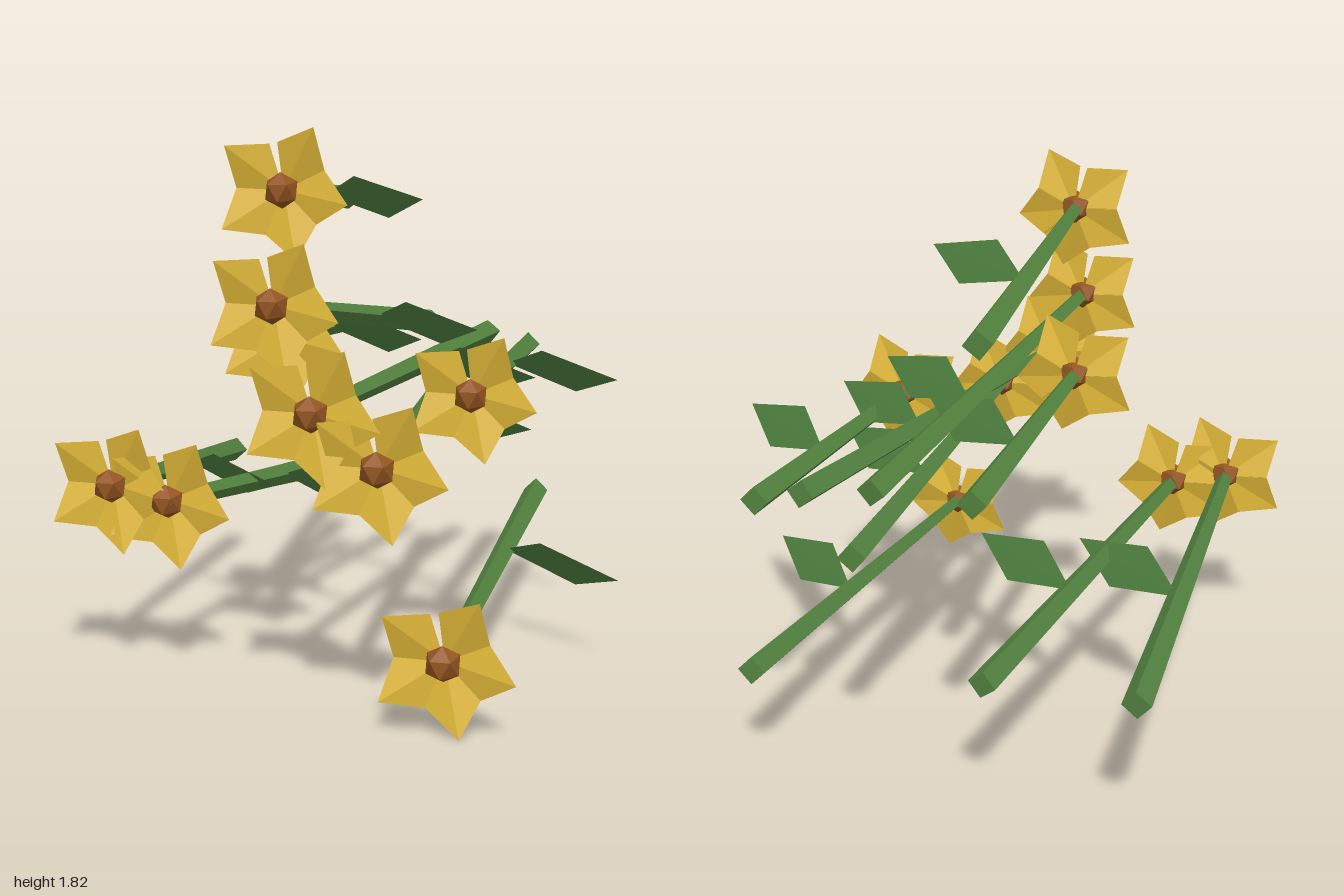
import * as THREE from 'three';

const mat = (name, color) => {
  const m = new THREE.MeshStandardMaterial({ color, flatShading: true, side: THREE.DoubleSide });
  m.name = name;
  return m;
};

// Folded four-cornered blade: base, side, tip, other side
function blade(base, sideA, tip, sideB) {
  const g = new THREE.BufferGeometry();
  g.setAttribute('position', new THREE.Float32BufferAttribute(
    [...base, ...sideA, ...tip, ...base, ...tip, ...sideB], 3));
  g.computeVertexNormals();
  return g;
}

// Each flower: head x, y, z and stem foot x, y (all feet lie at z = -1)
const FLOWERS = [
  [-0.16, 1.62, 0.51, -0.33, 1.545],
  [-0.15, 1.26, 0.66, 0.015, 1.045],
  [-0.27, 1.10, 0.17, -0.31, 1.05],
  [0.04, 0.955, 0.88, 0.25, 1.01],
  [0.415, 0.935, 0.25, 0.41, 0.965],
  [0.25, 0.795, 0.885, 0.085, 0.82],
  [-0.745, 0.635, 0.575, -0.83, 0.48],
  [-0.55, 0.59, 0.56, -0.34, 0.46],
  [0.47, 0.225, 0.945, 0.45, 0.37],
];
const PETAL_ANGLES = [60, -11, -76, -147, 142];

export function createModel() {
  const model = new THREE.Group();
  const stemMat = mat('stem green', 0x52823f);
  const leafMat = mat('leaf green', 0x4c7d3e);
  const petalMat = mat('petal yellow', 0xdfb738);
  const heartMat = mat('heart brown', 0x935520);

  // Shared shapes
  const polar = (r, deg, z) => {
    const a = THREE.MathUtils.degToRad(deg);
    return [r * Math.cos(a), r * Math.sin(a), z];
  };
  const petalGeo = blade([0, 0, -0.025], polar(0.155, -36, -0.012), [0.232, 0, 0.028], polar(0.155, 36, -0.012));
  const leafGeo = blade([0, 0, 0], [0.28, -0.075, 0.158], [0.45, 0, 0.36], [0.16, 0.075, 0.2]);
  const heartGeo = new THREE.IcosahedronGeometry(0.06, 0);
  heartGeo.rotateY(-0.365).rotateZ(-Math.PI / 2);

  for (const [x, y, z, fx, fy] of FLOWERS) {
    const flower = new THREE.Group();
    flower.name = 'flower';
    const head = new THREE.Vector3(x, y, z);
    const foot = new THREE.Vector3(fx, fy, -1);
    const along = head.clone().sub(foot);

    // Tapered four-sided stem
    const stem = new THREE.Mesh(new THREE.CylinderGeometry(0.028, 0.047, along.length(), 4), stemMat);
    stem.name = 'stem';
    stem.position.copy(foot).addScaledVector(along, 0.5);
    stem.quaternion.setFromUnitVectors(new THREE.Vector3(0, 1, 0), along.clone().normalize());
    flower.add(stem);

    // Leaf part-way along the stem
    const leaf = new THREE.Mesh(leafGeo, leafMat);
    leaf.name = 'leaf';
    leaf.position.copy(foot).addScaledVector(along, 0.41);
    flower.add(leaf);

    // Heart and ring of petals
    const bloom = new THREE.Group();
    bloom.name = 'bloom';
    bloom.position.copy(head);
    const heart = new THREE.Mesh(heartGeo, heartMat);
    heart.name = 'heart';
    bloom.add(heart);
    for (const deg of PETAL_ANGLES) {
      const petal = new THREE.Mesh(petalGeo, petalMat);
      petal.name = 'petal';
      petal.rotation.z = THREE.MathUtils.degToRad(deg);
      bloom.add(petal);
    }
    flower.add(bloom);
    model.add(flower);
  }
  return model;
}
